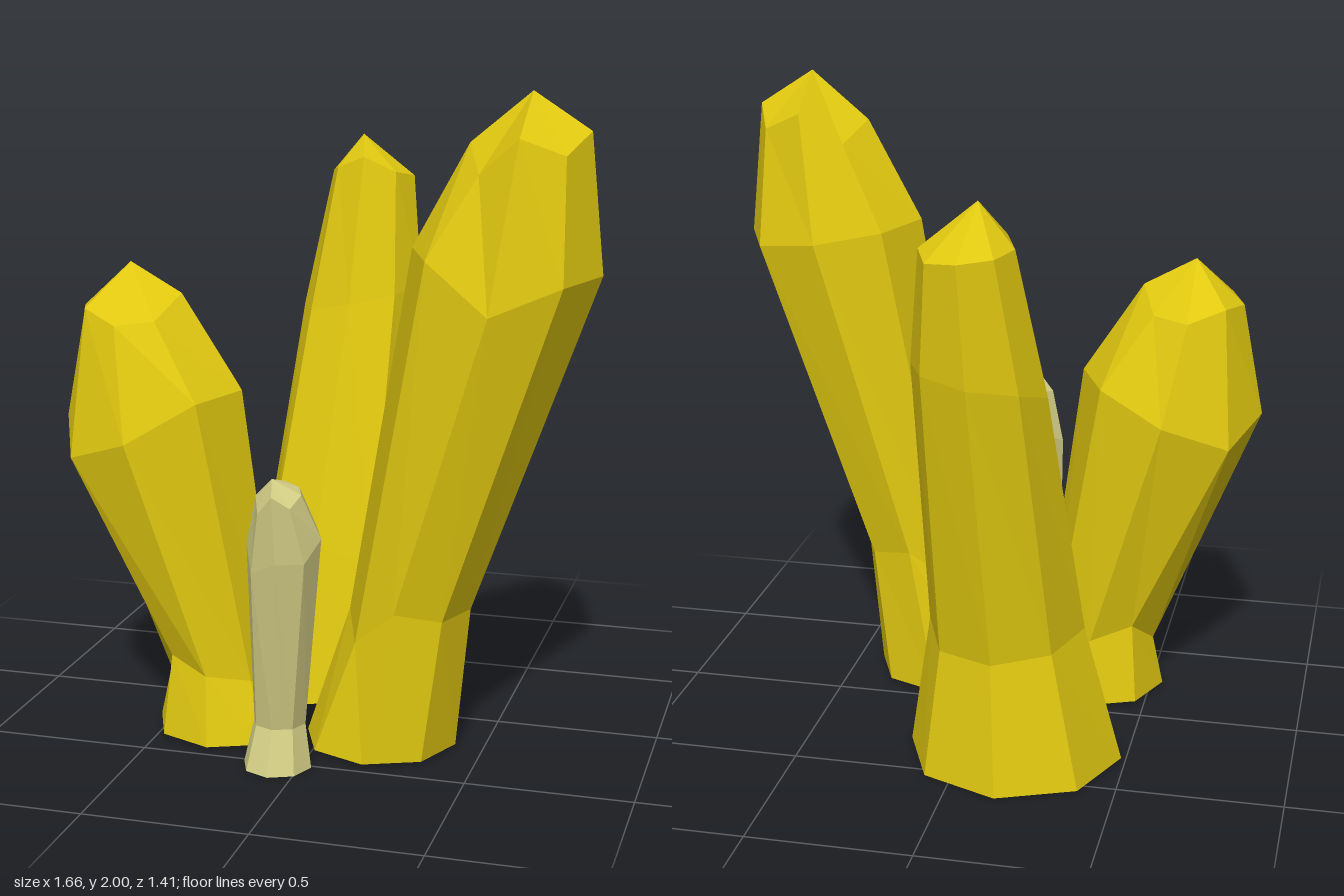
import * as THREE from 'three';

const SIDES = 8;

// Ring: centre x, z, radii rx, rz, and a height (one number, or one per corner).
// Corners run from +x through +z (front), -x and -z (back).
const ring = (x, z, rx, rz, y) => Array.from({ length: SIDES }, (_, k) => {
  const a = (k / SIDES) * Math.PI * 2;
  return [x + rx * Math.cos(a), Array.isArray(y) ? y[k] : y, z + rz * Math.sin(a)];
});

// Faceted crystal: rings joined bottom to top, flat base, pointed tip
function crystal(name, color, rings, tip) {
  const pos = [];
  const tri = (a, b, c) => pos.push(...a, ...b, ...c);
  const base = rings[0];
  const top = rings[rings.length - 1];
  for (let k = 0; k < SIDES; k++) {
    const n = (k + 1) % SIDES;
    if (k > 0 && n > 0) tri(base[0], base[k], base[n]);
    for (let i = 0; i + 1 < rings.length; i++) {
      const lo = rings[i], hi = rings[i + 1];
      tri(lo[k], hi[k], hi[n]);
      tri(lo[k], hi[n], lo[n]);
    }
    tri(top[k], tip, top[n]);
  }
  const geometry = new THREE.BufferGeometry();
  geometry.setAttribute('position', new THREE.Float32BufferAttribute(pos, 3));
  geometry.computeVertexNormals();
  const mesh = new THREE.Mesh(geometry, new THREE.MeshStandardMaterial({ color, flatShading: true }));
  mesh.name = name;
  return mesh;
}

export function createModel() {
  const yellow = 0xe0c810;
  const pale = 0xd8d288;
  const group = new THREE.Group();
  group.name = 'crystalCluster';

  group.add(
    // Tallest crystal, leaning to +x
    crystal('tallCrystal', yellow, [
      ring(0.18, 0.24, 0.235, 0.23, 0.01),
      ring(0.27, 0.245, 0.188, 0.205, [0.45, 0.45, 0.48, 0.36, 0.42, 0.36, 0.48, 0.45]),
      ring(0.55, 0.25, 0.28, 0.267, [1.48, 1.47, 1.39, 1.53, 1.54, 1.53, 1.5, 1.47]),
      ring(0.615, 0.255, 0.175, 0.175, [1.89, 1.83, 1.88, 1.77, 1.85, 1.79, 1.89, 1.83]),
    ], [0.62, 2, 0.255]),

    // Stout crystal, leaning to -x
    crystal('stoutCrystal', yellow, [
      ring(-0.31, 0.24, 0.23, 0.23, 0.01),
      ring(-0.325, 0.24, 0.18, 0.185, [0.2, 0.2, 0.22, 0.26, 0.17, 0.26, 0.22, 0.2]),
      ring(-0.545, 0.24, 0.285, 0.262, [1.08, 1.07, 0.95, 0.88, 0.97, 0.9, 0.98, 1.07]),
      ring(-0.605, 0.24, 0.157, 0.165, [1.37, 1.3, 1.29, 1.33, 1.32, 1.33, 1.29, 1.3]),
    ], [-0.61, 1.46, 0.24]),

    // Wide-footed crystal, leaning back
    crystal('backCrystal', yellow, [
      ring(-0.153, -0.3, 0.332, 0.332, 0),
      ring(-0.13, -0.33, 0.24, 0.24, [0.43, 0.43, 0.5, 0.48, 0.44, 0.42, 0.4, 0.4]),
      ring(-0.085, -0.515, 0.2, 0.18, [1.3, 1.28, 1.25, 1.22, 1.22, 1.26, 1.28, 1.3]),
      ring(-0.063, -0.575, 0.138, 0.132, [1.65, 1.67, 1.72, 1.68, 1.66, 1.65, 1.64, 1.63]),
    ], [-0.09, 1.785, -0.545]),

    // Small pale crystal in front
    crystal('smallCrystal', pale, [
      ring(-0.07, 0.51, 0.105, 0.108, 0),
      ring(-0.065, 0.5, 0.08, 0.078, 0.135),
      ring(-0.02, 0.593, 0.113, 0.09, [0.74, 0.68, 0.68, 0.64, 0.71, 0.74, 0.76, 0.76]),
      ring(-0.02, 0.64, 0.068, 0.068, [0.88, 0.85, 0.885, 0.83, 0.87, 0.88, 0.9, 0.89]),
    ], [-0.03, 0.93, 0.67]),
  );
  return group;
}
